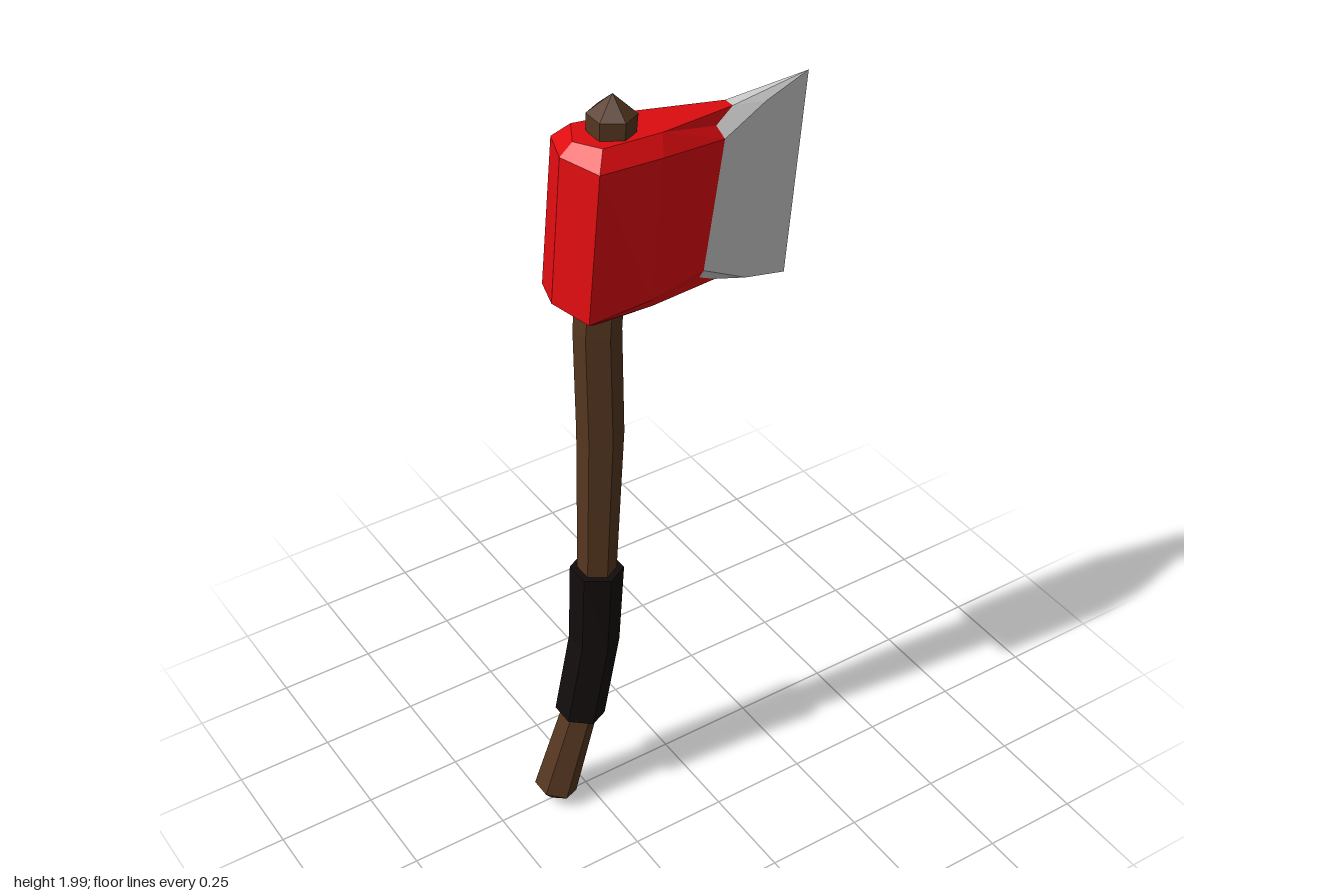
import * as THREE from 'three';
import { mergeVertices } from 'three/addons/utils/BufferGeometryUtils.js';

const paint = (color) => new THREE.MeshStandardMaterial({ color });
const same = (p, q) => p.every((v, i) => Math.abs(v - q[i]) < 1e-6);

// Turn polygons, fanned from their first corner, into a geometry, skipping collapsed triangles
function polygons(polys, smooth = false) {
  const pos = [];
  for (const p of polys) {
    for (let i = 1; i < p.length - 1; i++) {
      const [a, b, c] = [p[0], p[i], p[i + 1]];
      if (!same(a, b) && !same(b, c) && !same(c, a)) pos.push(...a, ...b, ...c);
    }
  }
  let geo = new THREE.BufferGeometry();
  geo.setAttribute('position', new THREE.Float32BufferAttribute(pos, 3));
  if (smooth) geo = mergeVertices(geo);
  geo.computeVertexNormals();
  return geo;
}

// Mirror polygons to -z, keeping the first corner and reversing the others
const mirror = (polys) => polys.map((p) => {
  const [first, ...rest] = p.map(([x, y, z]) => [x, y, -z]);
  return [first, ...rest.reverse()];
});

// Six-sided bar through rings of [x, y, radius], listed from bottom to top
function hexBar(path) {
  const rings = path.map(([x, y, r], i) => {
    const p = path[Math.max(i - 1, 0)], n = path[Math.min(i + 1, path.length - 1)];
    const len = Math.hypot(n[0] - p[0], n[1] - p[1]);
    const tx = (n[0] - p[0]) / len, ty = (n[1] - p[1]) / len;
    return Array.from({ length: 6 }, (_, k) => {
      const a = (k + 0.5) * Math.PI / 3, c = Math.cos(a) * r;
      return [x + ty * c, y - tx * c, Math.sin(a) * r];
    });
  });
  const polys = [];
  for (let i = 0; i < rings.length - 1; i++) {
    for (let k = 0; k < 6; k++) {
      const m = (k + 1) % 6;
      polys.push([rings[i][k], rings[i + 1][k], rings[i + 1][m], rings[i][m]]);
    }
  }
  return polygons(polys);
}

export function createModel() {
  const model = new THREE.Group();
  const add = (name, geo, mat, parent = model) => {
    const mesh = new THREE.Mesh(geo, mat);
    mesh.name = name;
    parent.add(mesh);
  };
  const red = paint(0xe00c10), wood = paint(0x543620), black = paint(0x120d0c), steel = paint(0xcccccc);

  // Curved handle with pointed ends
  add('handle', hexBar([
    [-0.353, 0.008, 0], [-0.34, 0.045, 0.055], [-0.26, 0.28, 0.046], [-0.217, 0.5, 0.046],
    [-0.2, 0.72, 0.048], [-0.182, 1.13, 0.056], [-0.184, 1.42, 0.056], [-0.175, 1.52, 0.055],
    [-0.14, 1.88, 0.053], [-0.136, 1.953, 0.056], [-0.134, 2, 0],
  ]), wood);

  // Grip wrap
  add('grip', hexBar([
    [-0.259, 0.276, 0], [-0.26, 0.275, 0.063], [-0.213, 0.5, 0.063],
    [-0.2, 0.724, 0.066], [-0.2, 0.7245, 0],
  ]), black);

  // Half cross-sections of the head, back to front:
  // top centre, top edge, upper side, lower side, bottom edge, bottom centre
  const spine = [[-0.235, 1.915, 0], [-0.235, 1.915, 0], [-0.268, 1.888, 0],
    [-0.3, 1.53, 0], [-0.262, 1.492, 0], [-0.262, 1.492, 0]];
  const back = [[-0.235, 1.915, 0], [-0.2, 1.918, 0.065], [-0.23, 1.88, 0.1],
    [-0.265, 1.515, 0.1], [-0.225, 1.483, 0.065], [-0.262, 1.492, 0]];
  const cheek = [[-0.045, 1.905, 0], [-0.045, 1.905, 0.056], [-0.065, 1.865, 0.09],
    [-0.095, 1.515, 0.09], [-0.07, 1.472, 0.056], [-0.07, 1.472, 0]];
  const front = [[0.165, 1.887, 0], [0.165, 1.887, 0.015], [0.12, 1.835, 0.052],
    [0.068, 1.513, 0.052], [0.125, 1.45, 0.015], [0.125, 1.45, 0]];
  const upperNotch = [0.11, 1.862, 0.032], lowerNotch = [0.07, 1.483, 0.032];

  // Red body
  const sections = [spine, back, cheek, front];
  const body = [];
  for (let i = 0; i < 3; i++) {
    const s = sections[i], n = sections[i + 1];
    for (let r = 0; r < 5; r++) {
      const notch = i === 2 && (r === 1 ? upperNotch : r === 3 && lowerNotch);
      if (!notch) body.push([s[r], s[r + 1], n[r + 1], n[r]]);
      else if (r === 1) body.push([s[r], s[r + 1], n[r + 1], notch, n[r]]);
      else body.push([s[r + 1], n[r + 1], notch, n[r], s[r]]);
    }
  }
  const head = new THREE.Group();
  head.name = 'axeHead';
  model.add(head);
  add('headBody', polygons([...body, ...mirror(body)]), red, head);

  // Steel blade: flat top and bottom, smoothly hollowed sides
  const [ct, t, u, l, b, cb] = front;
  const midU = [0.25, 1.878, 0.024], midL = [0.205, 1.43, 0.024];
  const tipU = [0.38, 1.905, 0], tipL = [0.332, 1.388, 0];
  const ends = [
    [upperNotch, u, t], [t, u, midU], [t, midU, tipU], [ct, t, tipU],
    [lowerNotch, b, l], [b, midL, l], [b, tipL, midL], [cb, tipL, b],
  ];
  add('bladeEnds', polygons([...ends, ...mirror(ends)]), steel, head);
  const side = [[u, l, midL, midU], [midU, midL, tipL, tipU]];
  add('bladeFront', polygons(side, true), steel, head);
  add('bladeBack', polygons(mirror(side), true), steel, head);
  return model;
}
